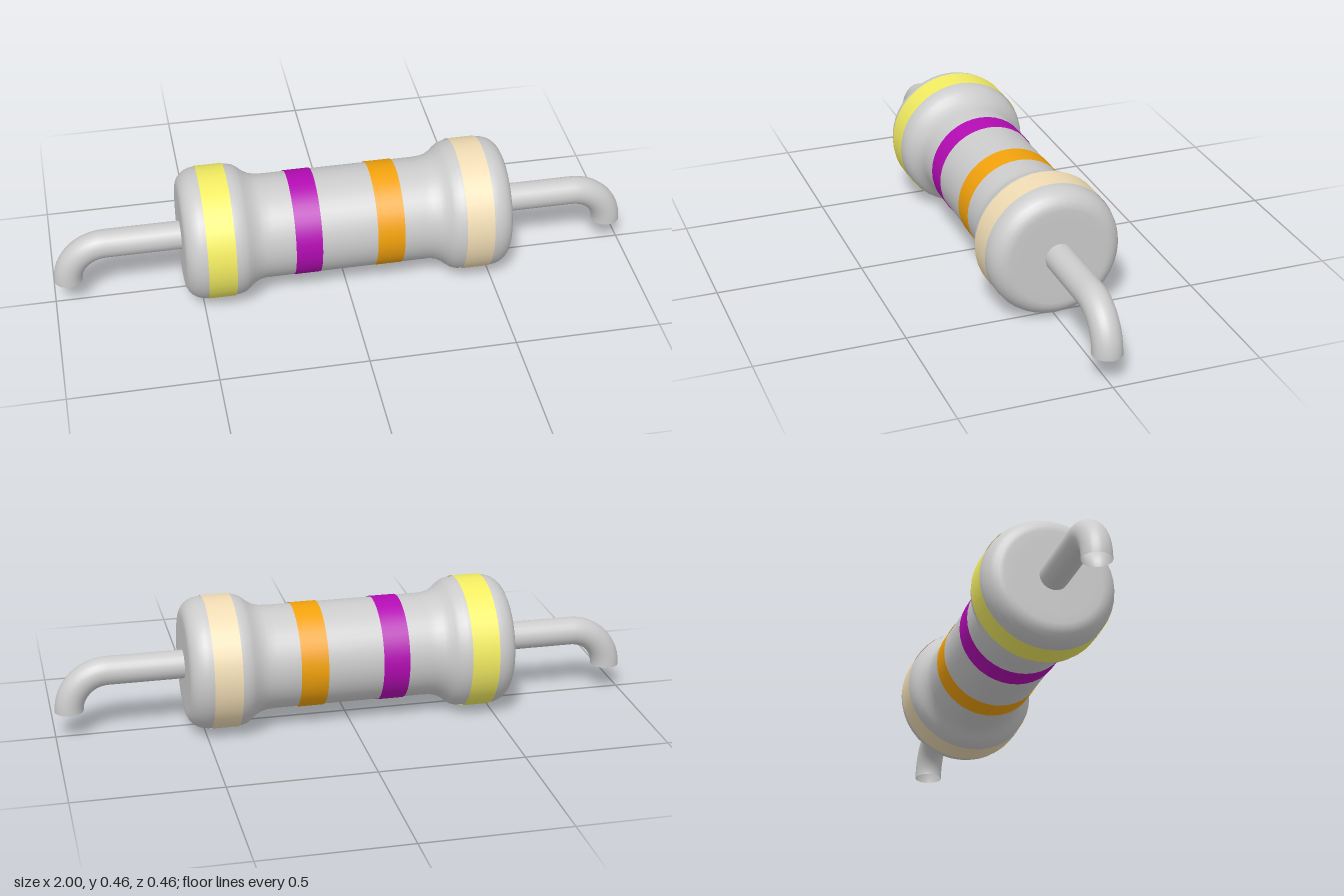
import * as THREE from 'three';

const AXIS_Y = 0.229;
const SEGMENTS = 40;

const mat = (color = 0xcccccc, side = THREE.FrontSide) =>
  new THREE.MeshStandardMaterial({ color, side });

// Turns [x, radius] pairs around the long (x) axis
function turned(name, profile, material) {
  const points = profile.map(([x, r]) => new THREE.Vector2(r, x));
  const geometry = new THREE.LatheGeometry(points, SEGMENTS).rotateZ(-Math.PI / 2);
  const mesh = new THREE.Mesh(geometry, material);
  mesh.name = name;
  mesh.position.y = AXIS_Y;
  return mesh;
}

// Lead wire: straight run, then a quarter bend downwards
function lead(name, side) {
  const path = new THREE.CurvePath();
  const at = (x, y) => new THREE.Vector3(side * x, AXIS_Y + y, 0);
  const k = 0.5523 * 0.135;
  path.add(new THREE.LineCurve3(at(0.5, 0), at(0.815, 0)));
  path.add(new THREE.CubicBezierCurve3(at(0.815, 0), at(0.815 + k, 0), at(0.95, -0.135 + k), at(0.95, -0.135)));
  const geometry = new THREE.TubeGeometry(path, 48, 0.049, 24);
  const mesh = new THREE.Mesh(geometry, mat(0xcccccc, THREE.DoubleSide));
  mesh.name = name;
  return mesh;
}

export function createModel() {
  const group = new THREE.Group();
  group.name = 'resistor';

  // Ceramic body: half profile from the waist to the rounded end, then mirrored
  const half = [
    [0.1, 0.177], [0.26, 0.177], [0.29, 0.179], [0.31, 0.184], [0.33, 0.195],
    [0.345, 0.208], [0.36, 0.218], [0.38, 0.224], [0.4, 0.2255], [0.49, 0.2255],
  ];
  for (let i = 1; i <= 6; i++) {
    const a = (i / 6) * Math.PI / 2;
    half.push([0.49 + 0.07 * Math.sin(a), 0.1655 + 0.06 * Math.cos(a)]);
  }
  half.push([0.56, 0.13], [0.56, 0]);
  const mirrored = half.map(([x, r]) => [-x, r]).reverse();
  group.add(turned('body', [...mirrored, ...half], mat()));

  // Painted colour bands, just proud of the body
  const bands = [
    ['yellowBand', -0.49, -0.395, 0.2275, 0xf2ec62],
    ['purpleBand', -0.188, -0.098, 0.1795, 0xb40cb4],
    ['orangeBand', 0.092, 0.185, 0.1795, 0xf2a20c],
    ['tanBand', 0.39, 0.485, 0.2275, 0xf0dcb4],
  ];
  for (const [name, x0, x1, r, color] of bands) {
    group.add(turned(name, [[x0, r], [x1, r]], mat(color, THREE.DoubleSide)));
  }

  group.add(lead('leftLead', 1), lead('rightLead', -1));
  return group;
}
